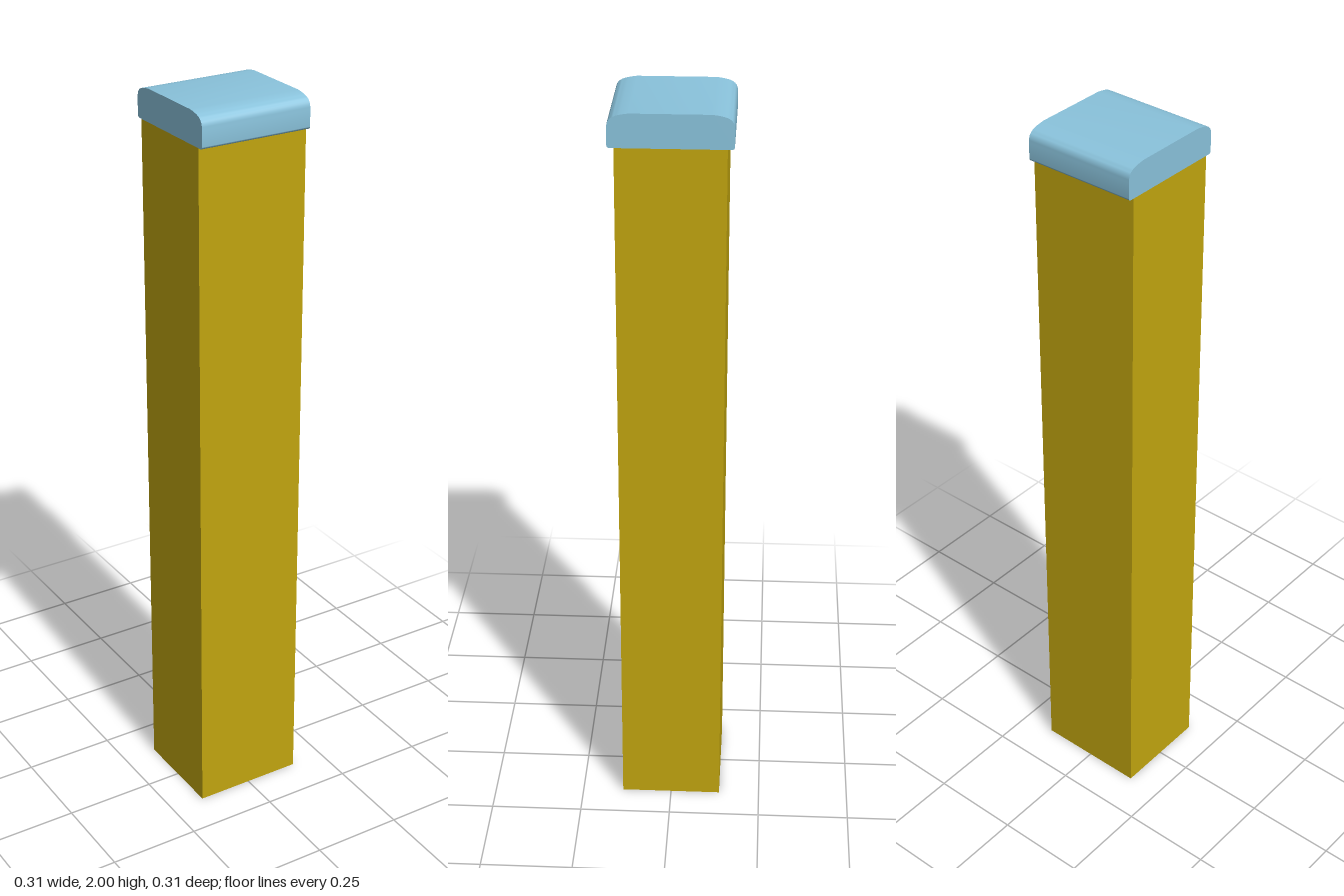
import * as THREE from 'three';
import { toCreasedNormals } from 'three/addons/utils/BufferGeometryUtils.js';

const HALF_X = 0.154, HALF_POST_Z = 0.137, HALF_CAP_Z = 0.154;
const POST_TOP = 1.914, TOP = 2;

export function createModel() {
  const model = new THREE.Group();
  const postColour = new THREE.MeshStandardMaterial({ name: 'ochre', color: 0xc1a50f, side: THREE.DoubleSide });
  const capColour = new THREE.MeshStandardMaterial({ name: 'pale blue', color: 0x8ac3dc });

  // hollow post: four thin walls, open at the foot
  const post = new THREE.Group();
  post.name = 'post';
  const addWall = (name, width, x, z, turn) => {
    const wall = new THREE.Mesh(new THREE.PlaneGeometry(width, POST_TOP), postColour);
    wall.name = name;
    wall.position.set(x, POST_TOP / 2, z);
    wall.rotation.y = turn;
    post.add(wall);
  };
  for (const s of [1, -1]) {
    addWall(s > 0 ? 'frontWall' : 'backWall', HALF_X * 2, 0, s * HALF_POST_Z, s > 0 ? 0 : Math.PI);
    addWall(s > 0 ? 'leftWall' : 'rightWall', HALF_POST_Z * 2, s * HALF_X, 0, s * Math.PI / 2);
  }
  model.add(post);

  // cap: profile with soft shoulders, run across the full width
  const h = HALF_CAP_Z, r = 0.008;
  const profile = new THREE.Shape();
  profile.moveTo(-h + r, POST_TOP);
  profile.lineTo(h - r, POST_TOP);
  profile.quadraticCurveTo(h, POST_TOP, h, POST_TOP + r);
  profile.lineTo(h, 1.962);
  profile.bezierCurveTo(h, 1.988, 0.142, 1.995, 0.1, TOP);
  profile.lineTo(-0.1, TOP);
  profile.bezierCurveTo(-0.142, 1.995, -h, 1.988, -h, 1.962);
  profile.lineTo(-h, POST_TOP + r);
  profile.quadraticCurveTo(-h, POST_TOP, -h + r, POST_TOP);
  const capShape = new THREE.ExtrudeGeometry(profile, { depth: HALF_X * 2, bevelEnabled: false, curveSegments: 10 });
  capShape.translate(0, 0, -HALF_X).rotateY(Math.PI / 2);
  const cap = new THREE.Mesh(toCreasedNormals(capShape, 0.7), capColour);
  cap.name = 'cap';
  model.add(cap);

  return model;
}
